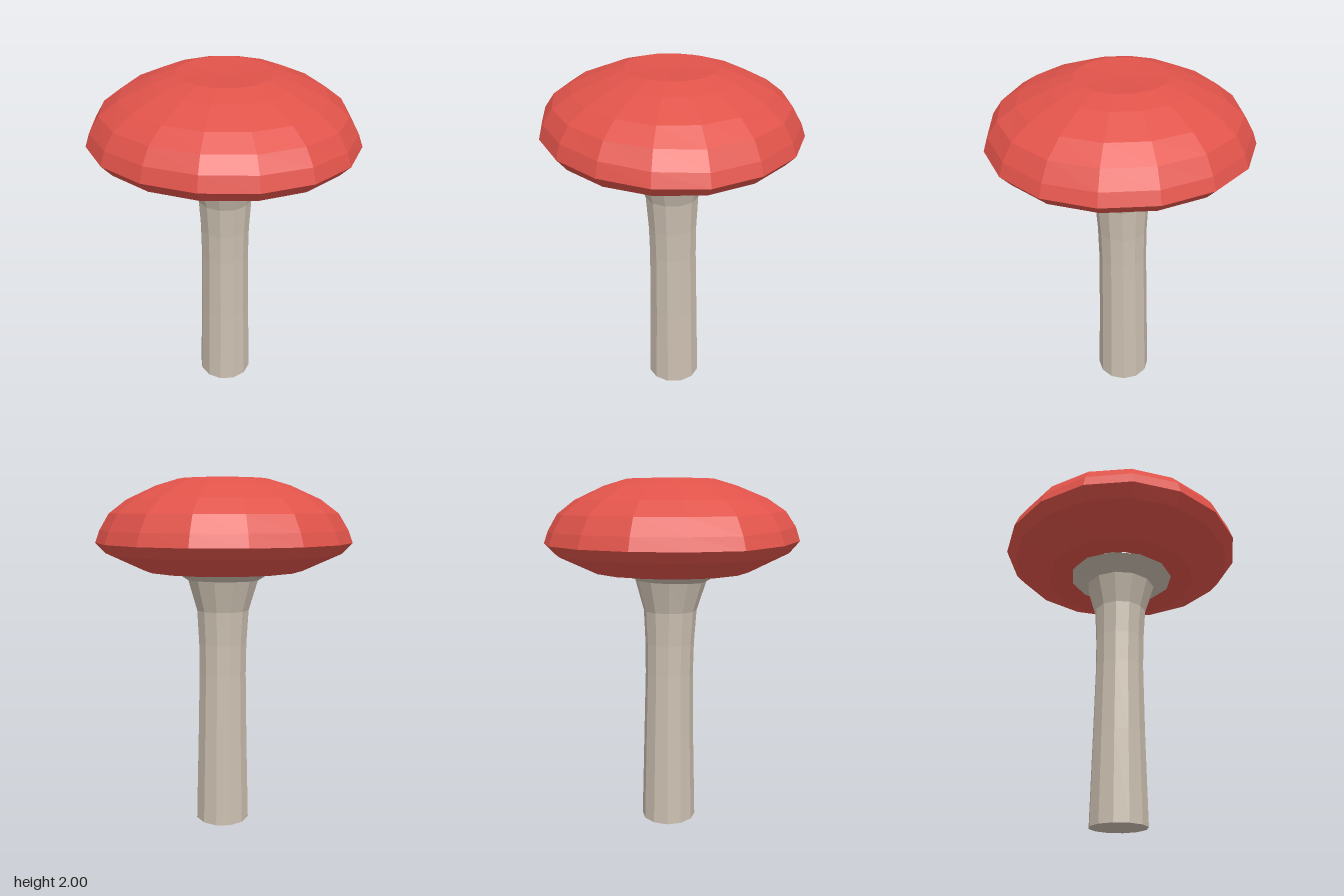
import * as THREE from 'three';

// Faceted lathe whose vertices are then moved by a rule(x, y, z, r)
function bentLathe(name, profile, sides, color, rule) {
  const points = profile.map(([r, y]) => new THREE.Vector2(r, y));
  const geometry = new THREE.LatheGeometry(points, sides);
  const pos = geometry.attributes.position;
  for (let i = 0; i < pos.count; i++) {
    const x = pos.getX(i), y = pos.getY(i), z = pos.getZ(i);
    const [ny, nz] = rule(y, z, Math.hypot(x, z));
    pos.setXYZ(i, x, ny, nz);
  }
  geometry.computeVertexNormals();
  const material = new THREE.MeshStandardMaterial({ color, flatShading: true });
  const mesh = new THREE.Mesh(geometry, material);
  mesh.name = name;
  return mesh;
}

export function createModel() {
  const group = new THREE.Group();
  group.name = 'mushroom';

  // Stem: closed foot, slim waist, flaring under the cap, leaning slightly forward
  const stemProfile = [
    [0, 0], [0.16, 0], [0.147, 0.5], [0.139, 0.9], [0.141, 1.08],
    [0.152, 1.27], [0.203, 1.44], [0.31, 1.507],
  ];
  group.add(bentLathe('stem', stemProfile, 12, 0xcbbfb0, (y, z) => {
    const lean = -0.01 + 0.016 * (y / 1.5) ** 2;
    return [y === 0 ? 0 : y - (y > 1.4 ? 0.03 * z : 0), z + lean];
  }));

  // Cap: flat underside, sharp rim, domed top with a shallow central dip
  const capProfile = [
    [0.29, 1.512], [0.45, 1.497], [0.665, 1.595], [0.72, 1.653], [0.695, 1.72],
    [0.64, 1.81], [0.54, 1.885], [0.375, 1.96], [0.25, 1.997], [0, 1.985],
  ];
  group.add(bentLathe('cap', capProfile, 16, 0xe0534a, (y, z, r) => {
    const s = r > 1e-6 ? z / r : 0;
    // the front half of the rim lifts, and the sides sit a little forward
    const lift = Math.max(0, 0.04 * Math.max(0, s) * (1 - Math.abs(y - 1.72) / 0.24));
    return [y + lift, 0.975 * z + 0.042 * r * (1 - s * s)];
  }));

  return group;
}
